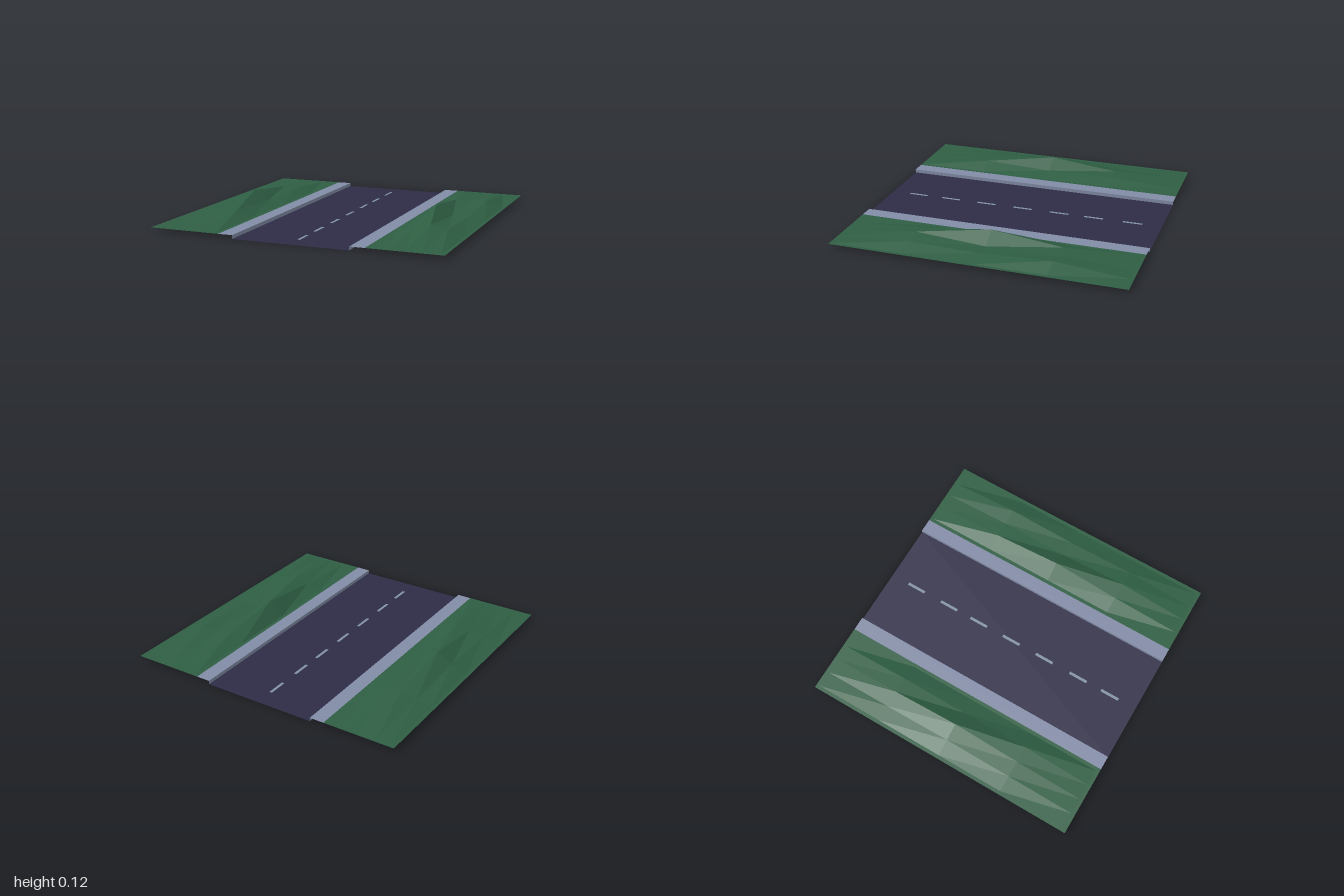
import * as THREE from 'three';

const material = (name, color) =>
  new THREE.MeshStandardMaterial({ name, color, side: THREE.DoubleSide });

const BASE = 0.025; // height of the curbs and lawns above the road

// Flat horizontal sheet facing up
function sheet(name, width, depth, x, y, z, mat) {
  const mesh = new THREE.Mesh(new THREE.PlaneGeometry(width, depth).rotateX(-Math.PI / 2), mat);
  mesh.name = name;
  mesh.position.set(x, y, z);
  return mesh;
}

// Faceted lawn: a grid with a flat rim; heights holds the 3 x 3 inner points (rows run back to front)
function lawnGeometry(centerX, heights) {
  const xs = [-0.25, -0.225, -0.1125, 0, 0.1125, 0.225, 0.25];
  const zs = [-1, -0.975, -0.4875, 0, 0.4875, 0.975, 1];
  const n = xs.length;
  const positions = [];
  const index = [];
  zs.forEach((z, j) => xs.forEach((x, i) => {
    positions.push(centerX + x, heights[j - 2]?.[i - 2] ?? BASE, z);
    if (i < n - 1 && j < n - 1) {
      const a = j * n + i;
      index.push(a, a + n, a + n + 1, a, a + n + 1, a + 1);
    }
  }));
  const grid = new THREE.BufferGeometry();
  grid.setAttribute('position', new THREE.Float32BufferAttribute(positions, 3));
  grid.setIndex(index);
  const flat = grid.toNonIndexed();
  flat.computeVertexNormals();
  return flat;
}

export function createModel() {
  const asphalt = material('asphalt', 0x2e2c47);
  const concrete = material('concrete', 0x828ca6);
  const paint = material('lane paint', 0x8291a4);
  const grass = material('grass', 0x2e5e43);

  const model = new THREE.Group();
  model.name = 'roadSection';

  // Road with its dashed centre line
  model.add(sheet('road', 0.8, 2, 0, 0, 0, asphalt));
  const dashes = new THREE.Group();
  dashes.name = 'centreLine';
  for (const z of [-0.795, -0.52, -0.27, 0, 0.27, 0.545, 0.797]) {
    dashes.add(sheet('dash', 0.02, 0.138, 0, 0.002, z, paint));
  }
  model.add(dashes);

  // Curbs: a raised strip and an upright face towards the road
  for (const side of [-1, 1]) {
    const curb = new THREE.Group();
    curb.name = side > 0 ? 'leftCurb' : 'rightCurb';
    curb.add(sheet('curbTop', 0.1, 2, side * 0.45, BASE, 0, concrete));
    const face = new THREE.Mesh(new THREE.PlaneGeometry(2, BASE), concrete);
    face.name = 'curbFace';
    face.rotation.y = -side * Math.PI / 2;
    face.position.set(side * 0.4, BASE / 2, 0);
    curb.add(face);
    model.add(curb);
  }

  // Lawns with low faceted mounds
  const lawns = [
    ['rightLawn', -0.75, [[0.04, 0.062, 0.058], [0.06, 0.117, 0.05], [0.045, 0.06, 0.072]]],
    ['leftLawn', 0.75, [[0.06, 0.055, 0.069], [0.115, 0.045, 0.048], [0.058, 0.079, 0.06]]],
  ];
  for (const [name, x, heights] of lawns) {
    const lawn = new THREE.Mesh(lawnGeometry(x, heights), grass);
    lawn.name = name;
    model.add(lawn);
  }
  return model;
}
